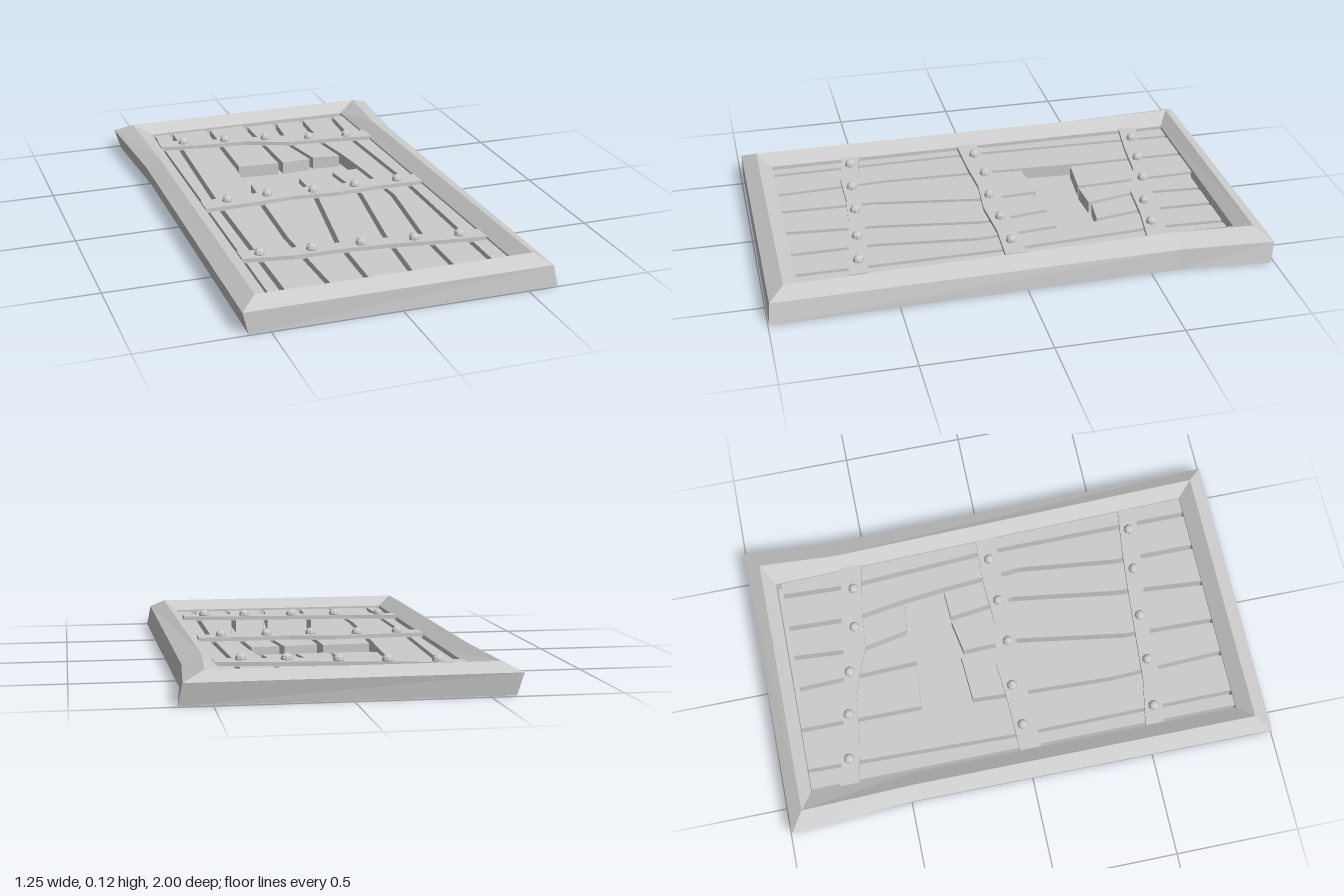
import * as THREE from 'three';

const material = new THREE.MeshStandardMaterial({ color: 0xcccccc, flatShading: true });
const FLOOR = 0.02, PLANK_TOP = 0.072, STRAP_TOP = 0.088;

function add(group, name, geometry) {
  const mesh = new THREE.Mesh(geometry, material);
  mesh.name = name;
  group.add(mesh);
  return mesh;
}

// Flat slab with an outline of [x, z] points, from height y0 to y1
function slab(points, y0, y1) {
  const shape = new THREE.Shape(points.map(([x, z]) => new THREE.Vector2(x, -z)));
  return new THREE.ExtrudeGeometry(shape, { depth: y1 - y0, bevelEnabled: false })
    .rotateX(-Math.PI / 2).translate(0, y0, 0);
}

// Frame rings, each: back left, left waist, front left, front right, right waist, back right
const rings = [
  [0, [[-0.60, -0.98], [-0.575, -0.48], [-0.58, 0.99], [0.622, 0.995], [0.592, -0.62], [0.624, -0.985]]],
  [0.085, [[-0.625, -0.988], [-0.595, -0.48], [-0.6, 0.988], [0.605, 0.988], [0.582, -0.62], [0.607, -1]]],
  [0.12, [[-0.55, -0.935], [-0.537, -0.48], [-0.537, 0.928], [0.545, 0.928], [0.505, -0.62], [0.525, -0.94]]],
  [0.08, [[-0.472, -0.888], [-0.475, -0.48], [-0.475, 0.87], [0.49, 0.87], [0.452, -0.62], [0.445, -0.888]]],
];
rings.push([FLOOR, rings[3][1]]);

// Bevelled frame with its recessed floor and flat underside
function frameGeometry() {
  const positions = [], index = [], n = 6, last = (rings.length - 1) * n;
  for (const [y, loop] of rings) for (const [x, z] of loop) positions.push(x, y, z);
  for (let r = 0; r < rings.length - 1; r++) {
    for (let i = 0; i < n; i++) {
      const a = r * n + i, b = r * n + (i + 1) % n;
      index.push(a, b, b + n, a, b + n, a + n);
    }
  }
  for (let i = 2; i < n + 0; i++) {
    const j = (i + 1) % n;
    index.push(last + 1, last + i, last + j, 1, j, i);
  }
  const geometry = new THREE.BufferGeometry();
  geometry.setAttribute('position', new THREE.Float32BufferAttribute(positions, 3));
  geometry.setIndex(index);
  const flat = geometry.toNonIndexed();
  flat.computeVertexNormals();
  return flat;
}

// Centre lines [x, z] of the crooked gaps; the first and last are the frame's sides
const seams = [
  [[-0.472, -0.888], [-0.472, 0.87]],
  [[-0.385, -0.888], [-0.41, 0], [-0.405, 0.87]],
  [[-0.21, -0.888], [-0.215, -0.38], [-0.235, 0], [-0.25, 0.4], [-0.23, 0.87]],
  [[-0.035, -0.888], [-0.02, -0.38], [-0.005, 0.05], [-0.075, 0.5], [-0.083, 0.87]],
  [[0.108, -0.888], [0.085, -0.58], [0.125, -0.38], [0.145, -0.2], [0.18, 0.08], [0.12, 0.5], [0.09, 0.87]],
  [[0.24, -0.888], [0.228, -0.58], [0.26, -0.38], [0.28, -0.2], [0.305, 0.13], [0.26, 0.53], [0.26, 0.87]],
  [[0.388, -0.888], [0.375, -0.6], [0.41, 0], [0.415, 0.87]],
  [[0.452, -0.888], [0.462, -0.62], [0.49, 0.87]],
];

// Part of a seam between two depths, shifted sideways
function cut(seam, z0, z1, dx) {
  const at = (z) => {
    let i = 1;
    while (i < seam.length - 1 && seam[i][1] < z) i++;
    const [xa, za] = seam[i - 1], [xb, zb] = seam[i];
    return [xa + (xb - xa) * (z - za) / (zb - za) + dx, z];
  };
  const inside = seam.filter(([, z]) => z > z0 + 0.001 && z < z1 - 0.001).map(([x, z]) => [x + dx, z]);
  return [at(z0), ...inside, at(z1)];
}

// Broken planks: [upper end left, right, lower start left, right]
const breaks = {
  2: [-0.39, -0.375, -0.175, -0.188],
  3: [-0.372, -0.38, -0.172, -0.197],
  4: [-0.388, -0.375, -0.195, -0.202],
};

// Straps: far and near edges at evenly spaced points, and bolt positions
const straps = [
  {
    name: 'backStrap', end: 0.46,
    far: [-0.77, -0.725, -0.69, -0.66, -0.64, -0.608],
    near: [-0.69, -0.66, -0.64, -0.57, -0.553, -0.522],
    bolts: [[-0.37, -0.715], [-0.185, -0.685], [-0.005, -0.65], [0.185, -0.597], [0.355, -0.572]],
  },
  {
    name: 'middleStrap', end: 0.465,
    far: [-0.032, -0.037, -0.052, -0.022, -0.033, -0.027],
    near: [0.055, 0.053, 0.042, 0.06, 0.048, 0.057],
    bolts: [[-0.37, 0], [-0.197, -0.008], [-0.005, 0.015], [0.18, 0.012], [0.37, 0.012]],
  },
  {
    name: 'frontStrap', end: 0.478,
    far: [0.49, 0.525, 0.54, 0.555, 0.572, 0.597],
    near: [0.565, 0.598, 0.6, 0.618, 0.647, 0.672],
    bolts: [[-0.4, 0.54], [-0.2, 0.562], [-0.005, 0.577], [0.205, 0.6], [0.385, 0.622]],
  },
];

export function createModel() {
  const model = new THREE.Group();
  model.name = 'door';
  add(model, 'frame', frameGeometry());

  // Planks, with three of them broken around the window hole
  const planks = new THREE.Group();
  planks.name = 'planks';
  model.add(planks);
  const plank = (i, startL, startR, endL, endR) => {
    const left = cut(seams[i], startL, endL, i === 0 ? 0.012 : 0.01);
    const right = cut(seams[i + 1], startR, endR, i === 6 ? 0 : -0.01);
    add(planks, 'plank', slab([...left, ...right.reverse()], FLOOR, PLANK_TOP));
  };
  for (let i = 0; i < seams.length - 1; i++) {
    const back = i > 2 ? -0.866 : -0.885;
    if (breaks[i]) {
      const [endL, endR, startL, startR] = breaks[i];
      plank(i, back, back, endL, endR);
      plank(i, startL, startR, 0.87, 0.87);
    } else {
      plank(i, back, back, 0.87, 0.87);
    }
  }

  // Bent metal straps with round bolts
  const boltGeometry = new THREE.SphereGeometry(0.022, 8, 6);
  for (const { name, end, far, near, bolts } of straps) {
    const strap = new THREE.Group();
    strap.name = name;
    model.add(strap);
    const x = (i) => -0.475 + (end + 0.475) * i / 5;
    const outline = [...near.map((z, i) => [x(i), z]), ...far.map((z, i) => [x(i), z]).reverse()];
    add(strap, 'strapBand', slab(outline, PLANK_TOP - 0.004, STRAP_TOP));
    for (const [bx, bz] of bolts) add(strap, 'bolt', boltGeometry).position.set(bx, STRAP_TOP + 0.004, bz);
  }
  return model;
}
